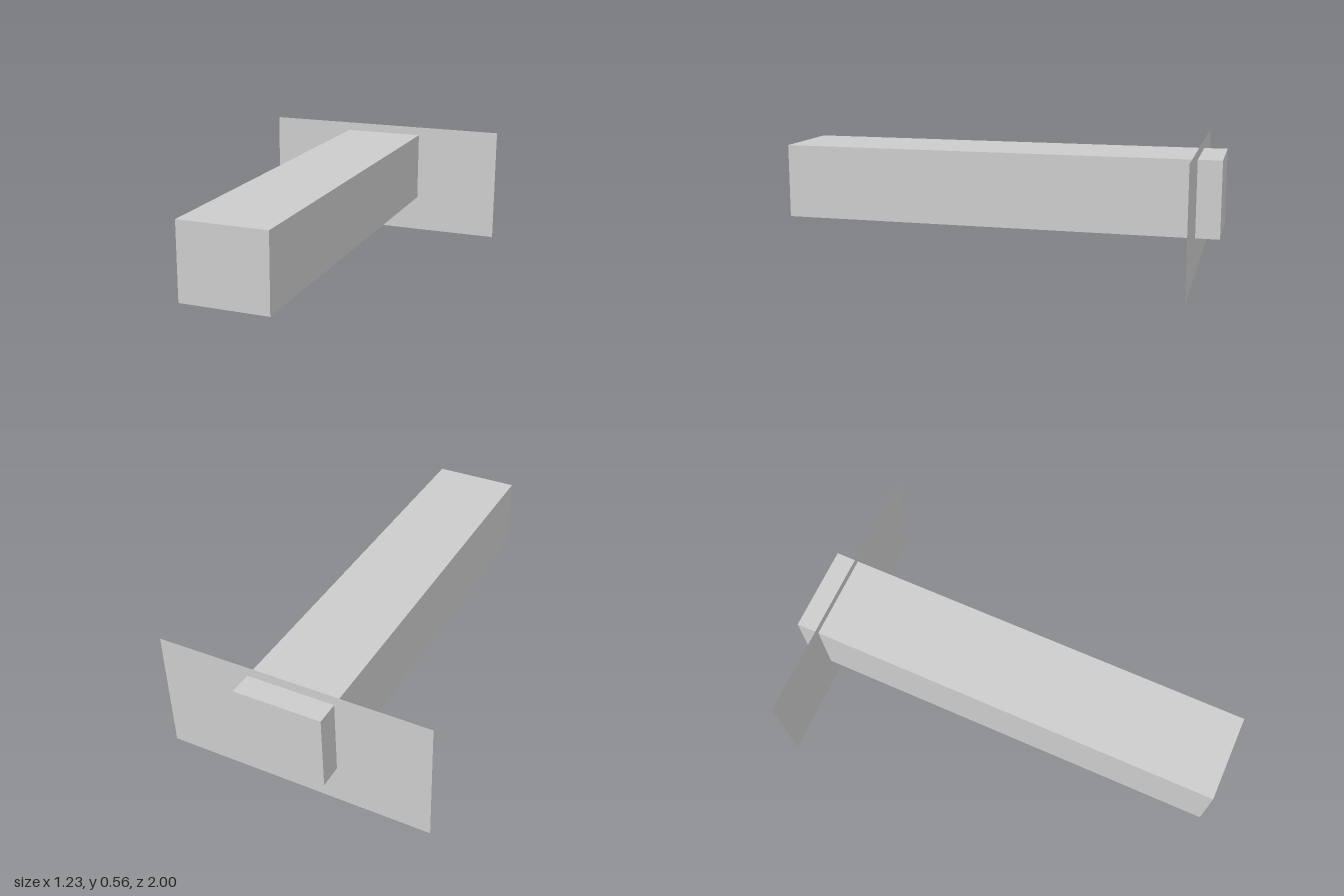
import * as THREE from 'three';

export function createModel() {
  const model = new THREE.Group();

  // Long rectangular beam
  const beam = new THREE.Mesh(
    new THREE.BoxGeometry(0.394, 0.34, 2),
    new THREE.MeshStandardMaterial({ color: 0xcccccc, flatShading: true })
  );
  beam.name = 'beam';
  beam.position.y = 0.348;
  model.add(beam);

  // Paper-thin upright plate crossing the beam near its back end
  const plate = new THREE.Mesh(
    new THREE.PlaneGeometry(1.23, 0.56),
    new THREE.MeshStandardMaterial({ color: 0xcccccc, flatShading: true, side: THREE.DoubleSide })
  );
  plate.name = 'crossPlate';
  plate.position.set(0, 0.28, -0.895);
  model.add(plate);

  return model;
}
